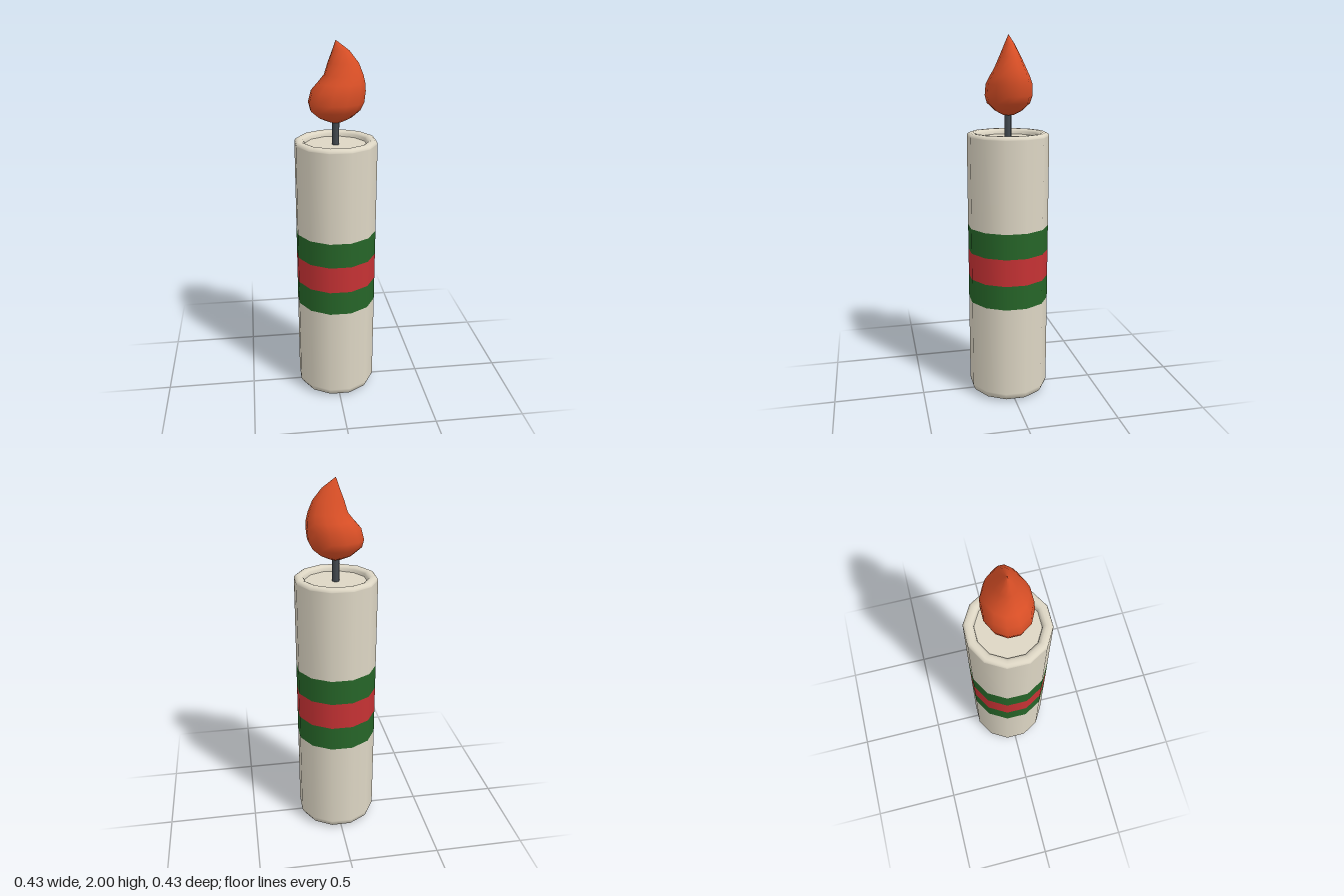
import * as THREE from 'three';

const SIDES = 12;
const PHASE = Math.PI / SIDES;
const RADIUS = 0.223;

const material = (name, color) => {
  const m = new THREE.MeshStandardMaterial({ color });
  m.name = name;
  return m;
};

// Closed flame skin from elliptical rings [y, left x, right x, half depth], bottom to top
function flameGeometry(rings) {
  const positions = [], index = [];
  for (const [y, left, right, depth] of rings) {
    const cx = (left + right) / 2, rx = (right - left) / 2 / Math.cos(PHASE);
    for (let i = 0; i < SIDES; i++) {
      const a = PHASE + (i / SIDES) * Math.PI * 2;
      positions.push(cx + rx * Math.sin(a), y, -0.003 + (depth / Math.cos(PHASE)) * Math.cos(a));
    }
  }
  for (let r = 0; r < rings.length - 1; r++) {
    for (let i = 0; i < SIDES; i++) {
      const a = r * SIDES + i, b = r * SIDES + (i + 1) % SIDES;
      index.push(a, b, b + SIDES, a, b + SIDES, a + SIDES);
    }
  }
  // Caps at the base and the tip
  const top = (rings.length - 1) * SIDES;
  for (let i = 1; i < SIDES - 1; i++) {
    index.push(0, i + 1, i, top, top + i, top + i + 1);
  }
  const g = new THREE.BufferGeometry();
  g.setAttribute('position', new THREE.Float32BufferAttribute(positions, 3));
  g.setIndex(index);
  g.computeVertexNormals();
  return g;
}

export function createModel() {
  const group = new THREE.Group();
  group.name = 'candle';

  const wax = material('cream wax', 0xddd6c4);
  const green = material('green band', 0x266528);
  const red = material('red band', 0xc63234);
  const wickGrey = material('wick grey', 0x434a50);
  const orange = material('flame orange', 0xd94f26);

  const add = (name, geometry, mat) => {
    const mesh = new THREE.Mesh(geometry, mat);
    mesh.name = name;
    group.add(mesh);
    return mesh;
  };
  const lathe = (points) => new THREE.LatheGeometry(
    points.map(([r, y]) => new THREE.Vector2(r, y)), SIDES, PHASE);

  // Straight wall, split into plain wax and coloured bands
  const walls = [
    ['lowerWall', 0.05, 0.555, wax],
    ['lowerGreenBand', 0.555, 0.69, green],
    ['redBand', 0.69, 0.84, red],
    ['upperGreenBand', 0.84, 0.98, green],
    ['upperWall', 0.98, 1.475, wax],
  ];
  for (const [name, y0, y1, mat] of walls) {
    add(name, lathe([[RADIUS, y0], [RADIUS, y1]]), mat);
  }

  // Rounded foot and flat underside
  add('foot', lathe([[0.17, 0], [0.19, 0.003], [0.209, 0.014], [0.22, 0.032], [RADIUS, 0.045], [RADIUS, 0.05]]), wax);
  add('underside', new THREE.CircleGeometry(0.17, SIDES, PHASE).rotateX(Math.PI / 2), wax);

  // Rounded rim around a shallow recess
  add('rim', lathe([
    [RADIUS, 1.475], [RADIUS, 1.478], [0.219, 1.488], [0.208, 1.495],
    [0.19, 1.495], [0.178, 1.49], [0.171, 1.481], [0.168, 1.465],
  ]), wax);
  add('recessFloor', new THREE.CircleGeometry(0.169, SIDES, PHASE).rotateX(-Math.PI / 2), wax)
    .position.y = 1.466;

  // Wick
  add('wick', new THREE.CylinderGeometry(0.019, 0.019, 0.15, 8), wickGrey).position.y = 1.535;

  // Curling flame
  add('flame', flameGeometry([
    [1.588, -0.035, 0.035, 0.03],
    [1.61, -0.085, 0.08, 0.07],
    [1.65, -0.131, 0.125, 0.111],
    [1.69, -0.141, 0.145, 0.122],
    [1.75, -0.125, 0.152, 0.119],
    [1.79, -0.09, 0.15, 0.102],
    [1.83, -0.058, 0.141, 0.081],
    [1.89, -0.04, 0.117, 0.054],
    [1.95, -0.018, 0.07, 0.027],
    [2.0, -0.001, 0.004, 0.002],
  ]), orange);

  return group;
}
